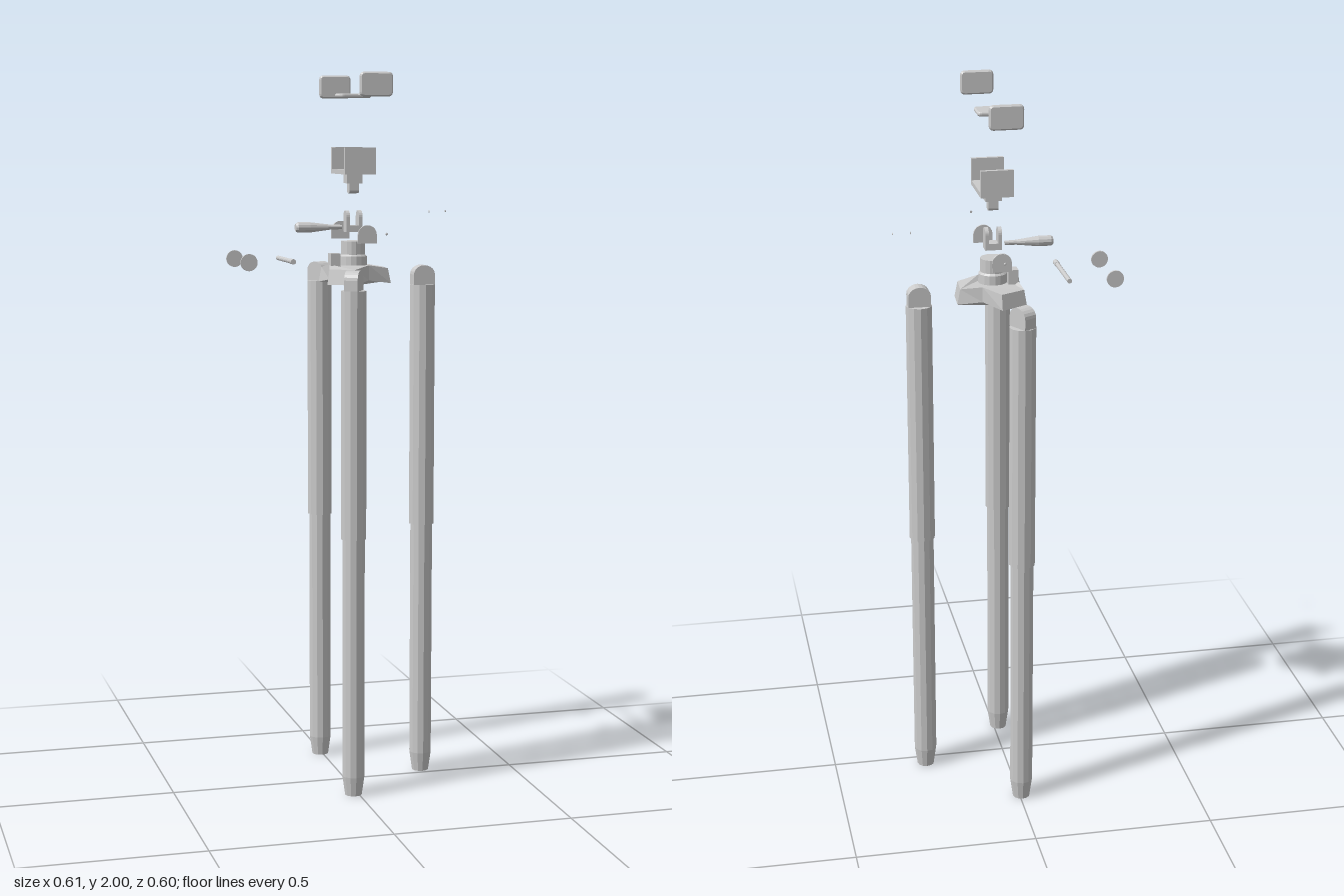
import * as THREE from 'three';

const mat = new THREE.MeshStandardMaterial({ color: 0xcccccc, flatShading: true });
const CX = 0.034, CZ = -0.04; // vertical axis of the head

function add(parent, name, geo, x = 0, y = 0, z = 0) {
  const m = new THREE.Mesh(geo, mat);
  m.name = name;
  m.position.set(x, y, z);
  parent.add(m);
  return m;
}

const box = (w, h, d) => new THREE.BoxGeometry(w, h, d);
const cyl = (rt, rb, h, n = 12) => new THREE.CylinderGeometry(rt, rb, h, n);
const lathe = (pts, n = 12) =>
  new THREE.LatheGeometry(pts.map(([r, y]) => new THREE.Vector2(r, y)), n);

// Upright slab with a rounded top, standing on y = 0, thickness along z
function arch(w, h, rise, depth) {
  const s = new THREE.Shape();
  s.moveTo(-w / 2, 0);
  s.lineTo(w / 2, 0);
  s.lineTo(w / 2, h - rise);
  s.absellipse(0, h - rise, w / 2, rise, 0, Math.PI, false);
  const g = new THREE.ExtrudeGeometry(s, { depth, bevelEnabled: false, curveSegments: 5 });
  return g.translate(0, 0, -depth / 2);
}

// Cushion: rounded rectangle in XY with chamfered rims, thickness along z
function padGeometry(w, h, t) {
  const b = t * 0.3, x = w / 2 - b, y = h / 2 - b, r = 0.008;
  const s = new THREE.Shape();
  s.moveTo(-x + r, -y);
  s.lineTo(x - r, -y);
  s.quadraticCurveTo(x, -y, x, -y + r);
  s.lineTo(x, y - r);
  s.quadraticCurveTo(x, y, x - r, y);
  s.lineTo(-x + r, y);
  s.quadraticCurveTo(-x, y, -x, y - r);
  s.lineTo(-x, -y + r);
  s.quadraticCurveTo(-x, -y, -x + r, -y);
  const depth = t - 2 * b;
  return new THREE.ExtrudeGeometry(s, {
    depth, bevelThickness: b, bevelSize: b, bevelSegments: 1, curveSegments: 3,
  }).translate(0, 0, -depth / 2);
}

// Three-armed hub whose arm ends droop and slope outwards
function hubGeometry() {
  const s = new THREE.Shape();
  for (let i = 0; i < 3; i++) {
    const a = THREE.MathUtils.degToRad(-4 + i * 120);
    for (const [da, r] of [[-22, 0.108], [22, 0.108], [60, 0.067]]) {
      const t = a + THREE.MathUtils.degToRad(da);
      const x = r * Math.cos(t), y = r * Math.sin(t);
      if (i === 0 && da === -22) s.moveTo(x, y);
      else s.lineTo(x, y);
    }
  }
  s.closePath();
  const g = new THREE.ExtrudeGeometry(s, { depth: 0.042, bevelEnabled: false });
  g.rotateX(-Math.PI / 2);
  const p = g.attributes.position;
  for (let i = 0; i < p.count; i++) {
    const x = p.getX(i), y = p.getY(i), z = p.getZ(i);
    const far = Math.hypot(x, z) > 0.09;
    const k = far && y > 0.02 ? 0.92 : 1;
    p.setXYZ(i, x * k, y - (far ? 0.01 : 0), z * k);
  }
  g.computeVertexNormals();
  return g;
}

function makeLeg(x, z, degrees) {
  const leg = new THREE.Group();
  leg.name = 'leg';
  leg.position.set(x, 0, z);
  leg.rotation.y = THREE.MathUtils.degToRad(degrees);
  add(leg, 'legTube', lathe([
    [0, 0], [0.024, 0], [0.032, 0.055], [0.032, 0.73],
    [0.036, 0.73], [0.036, 1.415], [0, 1.415],
  ]));
  add(leg, 'hingeTongue', arch(0.062, 0.055, 0.026, 0.038), 0, 1.415, 0);
  return leg;
}

export function createModel() {
  const root = new THREE.Group();
  root.name = 'explodedTripod';

  // Legs
  root.add(makeLeg(0.236, -0.034, 0));
  root.add(makeLeg(-0.014, 0.143, -120));
  root.add(makeLeg(-0.005, -0.264, 120));

  // Hub, collar and side lug
  const hub = new THREE.Group();
  hub.name = 'hub';
  root.add(hub);
  add(hub, 'hubPlate', hubGeometry(), CX, 1.433, CZ);
  add(hub, 'collar', lathe([
    [0, 0], [0.04, 0], [0.039, 0.025], [0.034, 0.03], [0.034, 0.067], [0, 0.067],
  ], 16), CX, 1.473, CZ);
  add(hub, 'sideLug', box(0.028, 0.04, 0.034), -0.02, 1.486, CZ);

  // Fork with two round-topped prongs
  const fork = new THREE.Group();
  fork.name = 'fork';
  root.add(fork);
  add(fork, 'forkBase', box(0.046, 0.018, 0.036), CX, 1.574, CZ);
  for (const side of [-1, 1]) {
    const prong = add(fork, 'forkProng', arch(0.036, 0.06, 0.018, 0.01), CX + side * 0.018, 1.565, CZ);
    prong.rotation.y = Math.PI / 2;
  }

  // Pan handle, lying along x
  const handle = add(root, 'panHandle', lathe([
    [0, 0], [0.011, 0], [0.0145, 0.006], [0.0145, 0.04],
    [0.007, 0.1], [0.006, 0.132], [0, 0.132],
  ]), -0.131, 1.579, CZ);
  handle.rotation.z = -Math.PI / 2;

  // Hinge covers beside the fork, and their screws
  for (const z of [-0.175, 0.107]) {
    add(root, 'hingeCover', arch(0.053, 0.05, 0.026, 0.006), CX, 1.54, z);
  }
  const screw = () => lathe([[0, 0], [0.0038, 0], [0.003, 0.002], [0, 0.003]], 8);
  add(root, 'coverScrew', screw(), CX, 1.575, -0.219).rotation.x = -Math.PI / 2;
  add(root, 'coverScrew', screw(), CX, 1.575, 0.295).rotation.x = Math.PI / 2;
  add(root, 'pivotScrew', screw(), 0.303, 1.62, CZ).rotation.z = -Math.PI / 2;
  add(root, 'pivotScrew', screw(), 0.257, 1.62, CZ).rotation.z = Math.PI / 2;

  // Clamp bolt and its two round knobs, all along z
  const bolt = add(root, 'clampBolt', lathe([
    [0, -0.091], [0.0065, -0.091], [0.0065, 0.065],
    [0.0075, 0.065], [0.0075, 0.091], [0, 0.091],
  ]), -0.159, 1.49, -0.041);
  bolt.rotation.x = Math.PI / 2;
  for (const z of [-0.134, 0.052]) {
    add(root, 'clampKnob', cyl(0.0235, 0.0235, 0.006, 20), -0.284, 1.49, z).rotation.x = Math.PI / 2;
  }

  // U-shaped cradle with a knuckle below
  const cradle = new THREE.Group();
  cradle.name = 'cradle';
  root.add(cradle);
  add(cradle, 'cradleFloor', box(0.088, 0.013, 0.152), 0.035, 1.732, CZ);
  for (const side of [-1, 1]) {
    add(cradle, 'cradleWall', box(0.088, 0.073, 0.011), 0.035, 1.762, CZ + side * 0.0705);
  }
  add(cradle, 'knuckleBlock', box(0.045, 0.026, 0.036), CX, 1.713, CZ);
  const knuckle = add(cradle, 'knuckle', arch(0.03, 0.03, 0.008, 0.027), CX, 1.702, CZ);
  knuckle.rotation.set(Math.PI, Math.PI / 2, 0);

  // Cushions for the cradle walls and floor
  for (const z of [-0.236, 0.193]) {
    add(root, 'sidePad', padGeometry(0.091, 0.065, 0.014), CX, 1.9675, z);
  }
  add(root, 'floorPad', padGeometry(0.09, 0.073, 0.012), CX, 1.94, CZ).rotation.x = -Math.PI / 2;

  return root;
}
